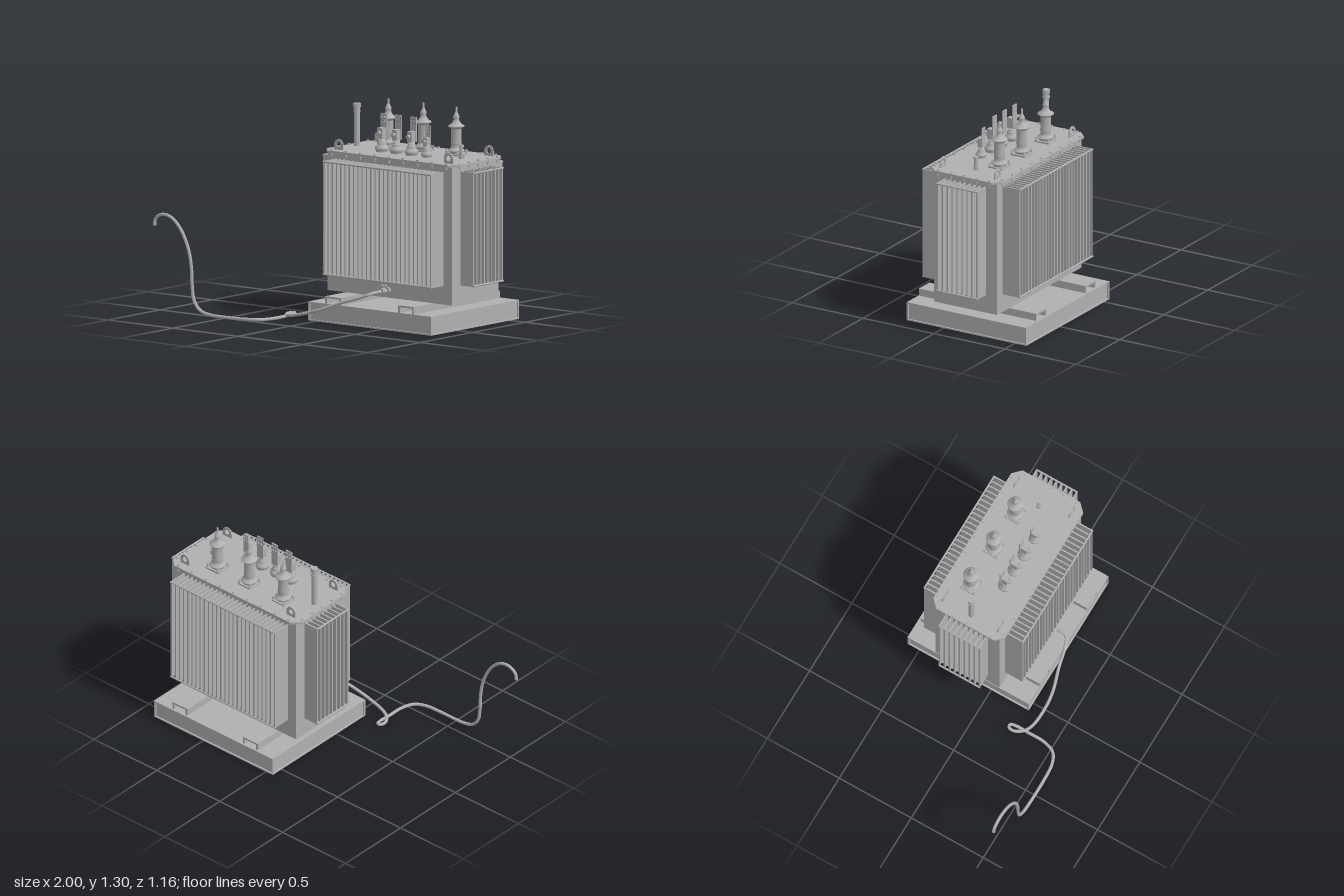
import * as THREE from 'three';

const V = (x, y, z) => new THREE.Vector3(x, y, z);

export function createModel() {
  const root = new THREE.Group();
  root.name = 'transformer';
  const grey = new THREE.MeshStandardMaterial({ color: 0xb0b0b0 });
  grey.name = 'paintedGrey';

  const add = (name, geo, x = 0, y = 0, z = 0, parent = root) => {
    const m = new THREE.Mesh(geo, grey);
    m.name = name;
    m.position.set(x, y, z);
    parent.add(m);
    return m;
  };
  // box given by its limits
  const block = (name, x0, x1, y0, y1, z0, z1, parent = root) =>
    add(name, new THREE.BoxGeometry(x1 - x0, y1 - y0, z1 - z0), (x0 + x1) / 2, (y0 + y1) / 2, (z0 + z1) / 2, parent);
  const cyl = (name, r, h, x, y, z, parent = root, sides = 20) =>
    add(name, new THREE.CylinderGeometry(r, r, h, sides), x, y, z, parent);
  const lathe = (pts, sides = 28) => {
    // each straight run gets its own normals so that rims stay crisp
    const g = new THREE.LatheGeometry(pts.map(p => new THREE.Vector2(...p)), sides);
    return g;
  };
  const group = (name) => {
    const g = new THREE.Group();
    g.name = name;
    root.add(g);
    return g;
  };

  // ---- base tray: core with projecting rims and corner posts
  const base = group('baseTray');
  const [bx0, bx1, bz0, bz1, bh] = [-0.055, 0.89, -0.582, 0.26, 0.115];
  block('trayCore', bx0 + 0.01, bx1 - 0.01, 0.002, bh - 0.002, bz0 + 0.01, bz1 - 0.01, base);
  block('bottomRim', bx0, bx1, 0, 0.008, bz0, bz1, base);
  block('topRim', bx0, bx1, bh - 0.008, bh, bz0, bz1, base);
  for (const x of [bx0, bx1 - 0.011]) for (const z of [bz0, bz1 - 0.011])
    block('cornerPost', x, x + 0.011, 0.004, bh - 0.004, z, z + 0.011, base);

  // ---- skid channels under the tank
  for (const x of [0.135, 0.695]) {
    const s = new THREE.Shape([[-0.06, 0], [-0.06, 0.045], [0.06, 0.045], [0.06, 0], [0.046, 0],
      [0.046, 0.034], [-0.046, 0.034], [-0.046, 0]].map(p => new THREE.Vector2(...p)));
    add('skidChannel', new THREE.ExtrudeGeometry(s, { depth: 0.826, bevelEnabled: false }), x, bh, -0.568);
  }

  // ---- tank
  const [tx0, tx1, tz0, tz1] = [-0.065, 0.895, -0.38, 0.065];
  block('tank', tx0, tx1, 0.16, 1.0, tz0, tz1);

  // ---- cooling fins, spread along one tank side and tied by rods at the outer edge
  const finY0 = 0.272, finY1 = 0.963;
  const fins = (name, alongX, from, to, inner, outer, count) => {
    const g = group(name);
    const t = 0.009, a = Math.min(inner, outer), b = Math.max(inner, outer);
    for (let i = 0; i < count; i++) {
      const c = from + t / 2 + (to - from - t) * i / (count - 1);
      if (alongX) block('fin', c - t / 2, c + t / 2, finY0, finY1, a, b, g);
      else block('fin', a, b, finY0, finY1, c - t / 2, c + t / 2, g);
    }
    for (const y of [finY0 + 0.004, finY1 - 0.004]) {
      const mid = (from + to) / 2;
      const rod = alongX ? cyl('tieRod', 0.006, to - from, mid, y, outer, g, 10)
        : cyl('tieRod', 0.006, to - from, outer, y, mid, g, 10);
      if (alongX) rod.rotation.z = Math.PI / 2;
      else rod.rotation.x = Math.PI / 2;
    }
  };
  fins('frontFins', true, 0, 0.83, tz1, 0.185, 26);
  fins('backFins', true, 0, 0.83, tz0, -0.498, 26);
  fins('leftFins', false, -0.302, -0.015, tx1, 0.992, 9);
  fins('rightFins', false, -0.302, -0.015, tx0, -0.162, 9);

  // ---- lid with cut corners, and its bolts
  const [lx0, lx1, lz0, lz1, c] = [-0.092, 0.93, -0.41, 0.09, 0.05];
  const outline = [[lx0 + c, lz0], [lx1 - c, lz0], [lx1, lz0 + c], [lx1, lz1 - c],
    [lx1 - c, lz1], [lx0 + c, lz1], [lx0, lz1 - c], [lx0, lz0 + c]];
  const lidShape = new THREE.Shape(outline.map(([x, z]) => new THREE.Vector2(x, -z)));
  const lidTop = 1.012;
  add('lid', new THREE.ExtrudeGeometry(lidShape, { depth: 0.014, bevelEnabled: false }), 0, lidTop - 0.014, 0)
    .rotation.x = -Math.PI / 2;
  const bolts = group('lidBolts');
  const bolt = (x, z) => {
    cyl('boltHead', 0.008, 0.008, x, lidTop + 0.004, z, bolts, 6);
    cyl('boltShank', 0.005, 0.022, x, 0.988, z, bolts, 8);
    cyl('boltNut', 0.009, 0.008, x, 0.994, z, bolts, 6);
  };
  for (let i = 0; i < 9; i++) for (const z of [lz0 + 0.014, lz1 - 0.012]) bolt(-0.02 + i * 0.11, z);
  for (let i = 0; i < 5; i++) for (const x of [lx0 + 0.013, lx1 - 0.013]) bolt(x, -0.34 + i * 0.09);

  // ---- lifting lugs
  const lug = new THREE.Shape();
  lug.moveTo(-0.034, 0);
  lug.lineTo(0.034, 0);
  lug.lineTo(0.034, 0.03);
  lug.absarc(0, 0.03, 0.034, 0, Math.PI, false);
  lug.lineTo(-0.034, 0);
  lug.holes.push(new THREE.Path().absarc(0, 0.032, 0.016, 0, Math.PI * 2, true));
  const lugGeo = new THREE.ExtrudeGeometry(lug, { depth: 0.007, bevelEnabled: false });
  for (const x of [-0.002, 0.843]) for (const z of [-0.355, 0.029]) add('liftingLug', lugGeo, x, lidTop, z);

  // ---- tall high voltage bushings
  const hvGeo = lathe([[0.04, 0], [0.04, 0.02], [0.05, 0.024], [0.05, 0.03], [0.036, 0.04], [0.032, 0.05],
    [0.032, 0.068], [0.036, 0.072], [0.032, 0.076], [0.032, 0.158], [0.036, 0.163], [0.049, 0.172], [0.049, 0.178],
    [0.03, 0.19], [0.02, 0.205], [0.016, 0.218], [0.02, 0.228], [0.018, 0.236], [0.009, 0.256],
    [0.006, 0.262], [0.006, 0.29], [0, 0.292]]);
  for (const x of [0.145, 0.415, 0.668]) {
    const g = group('highVoltageBushing');
    g.position.set(x, lidTop, -0.257);
    block('footPlate', -0.05, 0.05, 0, 0.01, -0.05, 0.05, g);
    add('insulator', hvGeo, 0, 0, 0, g);
    for (const sx of [-1, 1]) for (const sz of [-1, 1]) {
      cyl('clampStud', 0.005, 0.034, sx * 0.041, 0.017, sz * 0.041, g, 8);
      cyl('clampNut', 0.009, 0.009, sx * 0.041, 0.021, sz * 0.041, g, 6);
    }
  }

  // ---- short low voltage bushings with terminal flags
  const lvGeo = lathe([[0.036, 0], [0.036, 0.01], [0.042, 0.014], [0.042, 0.026], [0.034, 0.036], [0.026, 0.045],
    [0.03, 0.05], [0.026, 0.056], [0.02, 0.062], [0.02, 0.08], [0, 0.08]]);
  [[0.24, 1], [0.353, 1], [0.468, 1], [0.585, 0.8]].forEach(([x, s]) => {
    const g = group('lowVoltageBushing');
    g.position.set(x, lidTop, -0.077);
    g.scale.set(s, 0.16 + 0.84 * s, s);
    add('insulator', lvGeo, 0, 0, 0, g);
    for (const sx of [-1, 1]) cyl('terminalStud', 0.007, 0.07, sx * 0.011, 0.105, 0, g, 10);
    block('terminalClamp', -0.018, 0.018, 0.08, 0.145, -0.016, 0.022, g);
    cyl('clampScrew', 0.012, 0.05, 0, 0.115, 0.016, g, 12).rotation.x = Math.PI / 2;
    const flag = new THREE.Shape([[-0.024, 0], [0.024, 0], [0.024, 0.15], [-0.024, 0.15]]
      .map(p => new THREE.Vector2(...p)));
    for (const hx of [-0.011, 0.011]) for (const hy of [0.105, 0.132])
      flag.holes.push(new THREE.Path().absarc(hx, hy, 0.006, 0, Math.PI * 2, true));
    add('terminalFlag', new THREE.ExtrudeGeometry(flag, { depth: 0.007, bevelEnabled: false, curveSegments: 8 }),
      0, 0.08, -0.023, g);
  });

  // ---- filler pipe with hexagonal cap, and small thermometer pocket
  cyl('fillerPipe', 0.018, 0.24, -0.018, lidTop + 0.12, -0.16);
  cyl('fillerCollar', 0.022, 0.012, -0.018, 1.222, -0.16);
  cyl('fillerCap', 0.024, 0.026, -0.018, 1.257, -0.16, root, 6);
  cyl('thermometerPocket', 0.011, 0.08, 0.783, lidTop + 0.04, -0.162);
  cyl('pocketNut', 0.018, 0.03, 0.783, lidTop + 0.015, -0.162, root, 6);
  cyl('pocketCap', 0.015, 0.014, 0.783, 1.088, -0.162);

  // ---- drain valve
  const valve = group('drainValve');
  valve.position.set(0.415, 0.207, 0);
  const ring = (name, r, z0, z1, sides) =>
    cyl(name, r, z1 - z0, 0, 0, (z0 + z1) / 2, valve, sides).rotation.x = Math.PI / 2;
  ring('valvePipe', 0.011, 0.06, 0.175, 16);
  ring('innerFlange', 0.023, 0.086, 0.098, 20);
  ring('outerFlange', 0.023, 0.142, 0.153, 20);
  add('valveBody', new THREE.SphereGeometry(0.018, 16, 10), 0, 0, 0.12, valve);
  cyl('valveStem', 0.006, 0.035, 0, 0.02, 0.12, valve, 10);
  block('handleBarX', -0.021, 0.021, 0.03, 0.037, 0.115, 0.125, valve);
  block('handleBarZ', -0.005, 0.005, 0.03, 0.037, 0.099, 0.141, valve);

  // ---- drain hose with its loop and raised free end
  const path = [[0.415, 0.207, 0.165], [0.415, 0.207, 0.21], [0.405, 0.2, 0.25], [0.35, 0.178, 0.275],
    [0.23, 0.14, 0.302], [0.1, 0.09, 0.338], [0, 0.06, 0.347], [-0.12, 0.034, 0.337], [-0.18, 0.025, 0.31],
    [-0.218, 0.026, 0.255], [-0.215, 0.028, 0.217], [-0.195, 0.028, 0.213], [-0.184, 0.025, 0.25],
    [-0.183, 0.02, 0.34], [-0.185, 0.02, 0.44], [-0.215, 0.02, 0.52], [-0.28, 0.02, 0.555], [-0.4, 0.018, 0.566],
    [-0.57, 0.022, 0.566], [-0.64, 0.042, 0.566], [-0.685, 0.095, 0.566], [-0.7, 0.18, 0.566],
    [-0.707, 0.3, 0.566], [-0.73, 0.405, 0.566], [-0.79, 0.52, 0.566], [-0.86, 0.582, 0.566],
    [-0.92, 0.595, 0.566], [-0.965, 0.58, 0.566], [-0.985, 0.555, 0.566], [-0.989, 0.53, 0.566]];
  const curve = new THREE.CatmullRomCurve3(path.map(p => V(...p)));
  add('drainHose', new THREE.TubeGeometry(curve, 220, 0.01, 10), 0, 0, 0);
  cyl('hoseEnd', 0.011, 0.018, -0.989, 0.532, 0.566);

  return root;
}
